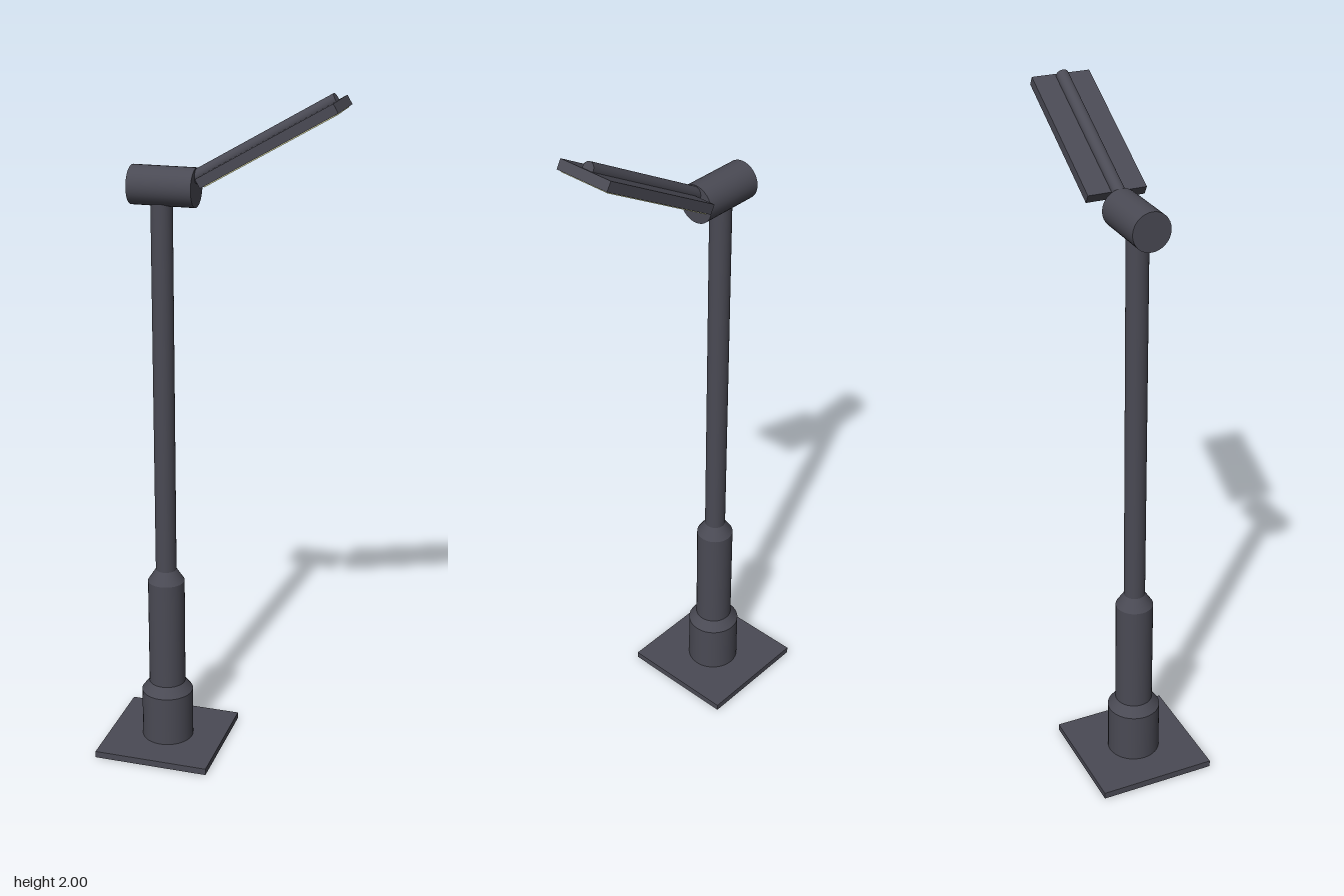
import * as THREE from 'three';

export function createModel() {
  const model = new THREE.Group();
  const metal = new THREE.MeshStandardMaterial({ color: 0x4a4a54 });
  metal.name = 'dark grey metal';
  const glow = new THREE.MeshStandardMaterial({ color: 0xcccc9c });
  glow.name = 'pale yellow lens';

  const add = (parent, name, geometry, material, x, y, z = 0) => {
    const mesh = new THREE.Mesh(geometry, material);
    mesh.name = name;
    mesh.position.set(x, y, z);
    parent.add(mesh);
    return mesh;
  };
  const poleX = -0.168;

  // Square foot
  add(model, 'basePlate', new THREE.BoxGeometry(0.35, 0.02, 0.35), metal, poleX, 0.01);

  // Stepped pole: name, bottom radius, top radius, bottom y, top y
  const sections = [
    ['poleFoot', 0.078, 0.078, 0.02, 0.175],
    ['footTaper', 0.078, 0.055, 0.175, 0.205],
    ['lowerPole', 0.055, 0.055, 0.205, 0.54],
    ['poleTaper', 0.055, 0.031, 0.54, 0.577],
    ['upperPole', 0.031, 0.031, 0.577, 1.70],
  ];
  for (const [name, r0, r1, y0, y1] of sections) {
    add(model, name, new THREE.CylinderGeometry(r1, r0, y1 - y0, 32), metal, poleX, (y0 + y1) / 2);
  }

  // Horizontal hub on top of the pole
  const hub = add(model, 'hub', new THREE.CylinderGeometry(0.055, 0.055, 0.186, 32), metal, -0.16, 1.73);
  hub.rotation.z = Math.PI / 2;

  // Lamp head, tilted 30 degrees; its origin is the upper inner edge of the panel
  const head = new THREE.Group();
  head.name = 'lampHead';
  head.position.set(-0.045, 1.77, 0);
  head.rotation.z = Math.PI / 6;
  model.add(head);
  add(head, 'panel', new THREE.BoxGeometry(0.43, 0.028, 0.17), metal, 0.215, -0.014);
  add(head, 'lens', new THREE.BoxGeometry(0.41, 0.004, 0.158), glow, 0.215, -0.029);

  // Rod running from the hub along the top of the panel
  const rod = add(head, 'armRod', new THREE.CylinderGeometry(0.018, 0.018, 0.47, 24), metal, 0.187, 0.004);
  rod.rotation.z = Math.PI / 2;

  return model;
}
